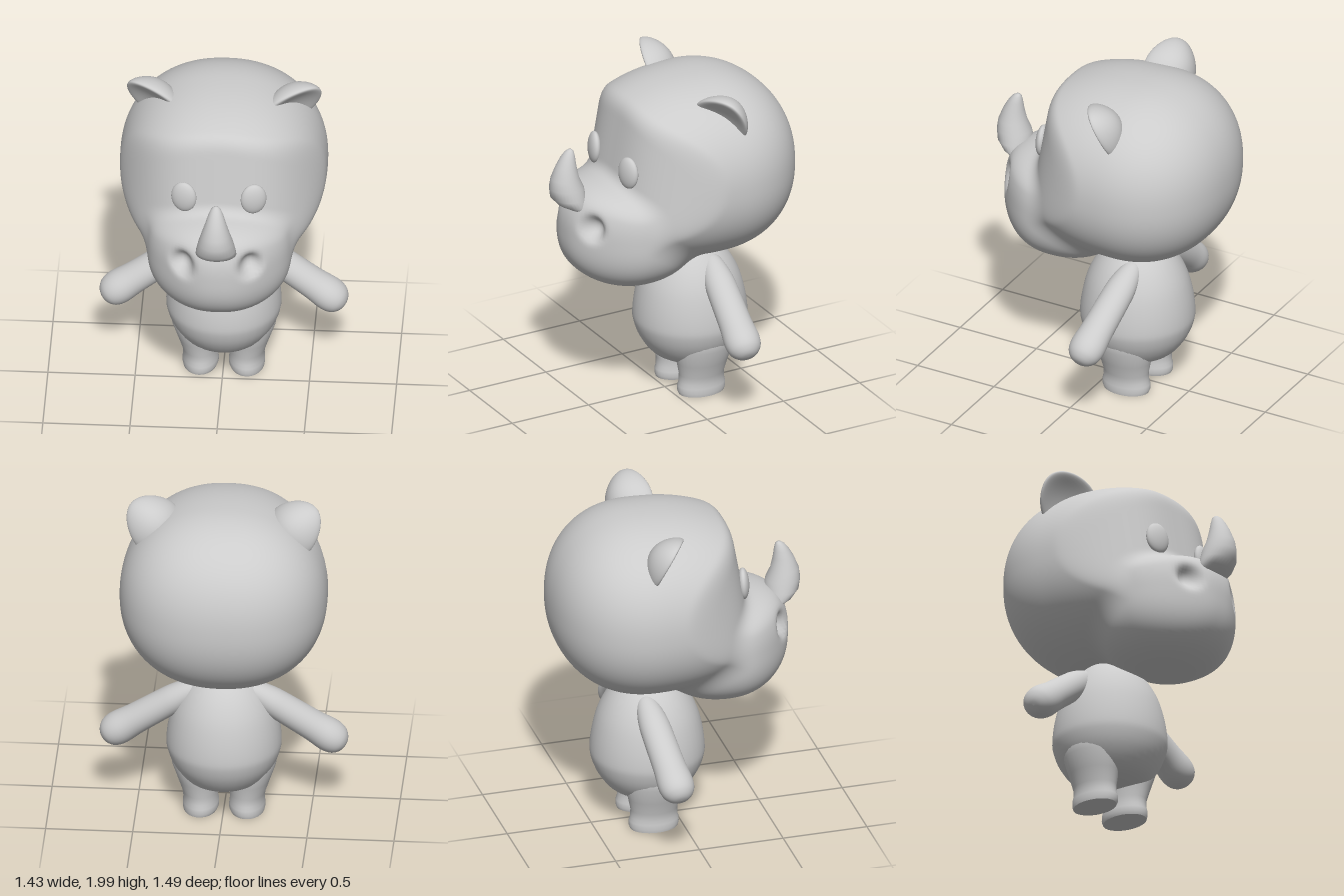
import * as THREE from 'three';
import { mergeVertices } from 'three/addons/utils/BufferGeometryUtils.js';

const material = new THREE.MeshStandardMaterial({ color: 0xcccccc, roughness: 0.8 });
const BODY_Z = -0.165;

function add(parent, name, geometry) {
  const mesh = new THREE.Mesh(geometry, material);
  mesh.name = name;
  parent.add(mesh);
  return mesh;
}

// Smooth minimum and maximum, used to blend the head volumes
function smin(a, b, k) {
  const h = Math.max(k - Math.abs(a - b), 0) / k;
  return Math.min(a, b) - (h * h * k) / 4;
}
const smax = (a, b, k) => -smin(-a, -b, k);

// Signed, roughly metric field of a rounded ellipsoid
function blob(x, y, z, rx, ry, rz, px = 2, py = px, pz = px) {
  const s = Math.abs(x / rx) ** px + Math.abs(y / ry) ** py + Math.abs(z / rz) ** pz;
  return (s ** (1 / pz) - 1) * Math.min(rx, ry, rz);
}

// Skull with a sloped forehead, blended with the muzzle, minus the nostrils
function headField(x, y, z) {
  const ball = blob(x, y - 1.42, z + 0.2, 0.595, y > 1.42 ? 0.55 : 0.535, z > -0.2 ? 0.79 : 0.545, 2.2);
  const forehead = z + 0.18 * (y - 1.5) + 2 * Math.abs(x) ** 3 - 0.36;
  const skull = smax(ball, forehead, 0.05);
  // The muzzle narrows towards the front and is flattened on top
  const taper = 1 - 2.2 * Math.max(0, Math.min(z, 0.75) - 0.3) ** 2;
  const round = blob(x / taper, y - 1.13, z - 0.25, 0.415, 0.36, 0.41, 2.4, 2.6, 2.1);
  const muzzle = smax(round, y + 0.15 * z + 0.7 * x * x - 1.485, 0.06);
  const nostril = blob(Math.abs(x) - 0.2, y - 1.22, z - 0.6, 0.062, 0.068, 0.085);
  return smax(smin(skull, muzzle, 0.06), -nostril, 0.05);
}

// Sphere whose vertices are moved out along rays to the head surface
function headGeometry() {
  const sphere = new THREE.SphereGeometry(1, 160, 112);
  sphere.deleteAttribute('uv');
  sphere.deleteAttribute('normal');
  const geometry = mergeVertices(sphere);
  const pos = geometry.attributes.position;
  const centre = new THREE.Vector3(0, 1.3, 0.05);
  const dir = new THREE.Vector3();
  const p = new THREE.Vector3();
  for (let i = 0; i < pos.count; i++) {
    dir.fromBufferAttribute(pos, i).normalize();
    let lo = 0, hi = 1.2;
    for (let n = 0; n < 24; n++) {
      const mid = (lo + hi) / 2;
      p.copy(centre).addScaledVector(dir, mid);
      if (headField(p.x, p.y, p.z) < 0) lo = mid;
      else hi = mid;
    }
    p.copy(centre).addScaledVector(dir, lo);
    pos.setXYZ(i, p.x, p.y, p.z);
  }
  geometry.computeVertexNormals();
  return geometry;
}

// Skin over elliptical rings [y, centreX, centreZ, radiusX, radiusZ], listed upwards
function loft(rings, sides = 32) {
  const points = [], index = [];
  rings.forEach(([y, cx, cz, rx, rz], i) => {
    for (let j = 0; j < sides; j++) {
      const a = (j / sides) * Math.PI * 2;
      points.push(cx + rx * Math.cos(a), y, cz + rz * Math.sin(a));
      if (i === rings.length - 1) continue;
      const p = i * sides + j, q = i * sides + ((j + 1) % sides);
      index.push(p, p + sides, q, q, p + sides, q + sides);
    }
  });
  const geometry = new THREE.BufferGeometry();
  geometry.setAttribute('position', new THREE.Float32BufferAttribute(points, 3));
  geometry.setIndex(index);
  geometry.computeVertexNormals();
  return geometry;
}

// Lathe through a smoothed profile, listed upwards
function smoothLathe(profile) {
  const curve = new THREE.SplineCurve(profile.map(([r, y]) => new THREE.Vector2(r, y)));
  const points = curve.getPoints(40);
  points.forEach((p) => { p.x = Math.max(p.x, 0); });
  return new THREE.LatheGeometry(points, 40);
}

// Thick flattened ball, narrowed to the tip and bent into a cup that opens towards +z
function earGeometry() {
  const geometry = new THREE.SphereGeometry(1, 36, 28);
  geometry.deleteAttribute('uv');
  geometry.deleteAttribute('normal');
  const merged = mergeVertices(geometry);
  const pos = merged.attributes.position;
  for (let i = 0; i < pos.count; i++) {
    const x = pos.getX(i), y = pos.getY(i), z = pos.getZ(i);
    const bowl = 1 - x * x - y * y;
    const depth = z > 0 ? 0.05 : 0.065;
    pos.setXYZ(i, x * (0.165 - 0.03 * y), y * 0.18, z * depth - 0.06 * bowl + 0.015);
  }
  merged.computeVertexNormals();
  return merged;
}

export function createModel() {
  const model = new THREE.Group();
  model.name = 'rhinoFigure';

  add(model, 'head', headGeometry());

  // Horn curving forward, then up
  add(model, 'horn', loft([
    [1.28, 0, 0.58, 0.105, 0.05],
    [1.315, 0, 0.61, 0.117, 0.085],
    [1.36, 0, 0.635, 0.113, 0.1],
    [1.42, 0, 0.645, 0.1, 0.1],
    [1.48, 0, 0.655, 0.083, 0.082],
    [1.55, 0, 0.648, 0.06, 0.061],
    [1.6, 0, 0.637, 0.044, 0.044],
    [1.635, 0, 0.627, 0.028, 0.028],
    [1.648, 0, 0.622, 0.014, 0.014],
    [1.652, 0, 0.62, 0, 0],
  ]));

  // Pear-shaped body
  add(model, 'body', smoothLathe([
    [0, 0.16], [0.12, 0.175], [0.22, 0.22], [0.29, 0.31], [0.325, 0.4], [0.33, 0.47],
    [0.315, 0.58], [0.285, 0.69], [0.235, 0.79], [0.17, 0.87], [0.1, 0.92], [0, 0.95],
  ])).position.z = BODY_Z;

  const up = new THREE.Vector3(0, 1, 0);
  const eye = new THREE.SphereGeometry(1, 32, 24).scale(0.075, 0.095, 0.035);
  const ear = earGeometry();
  const arm = smoothLathe([
    [0, -0.08], [0.04, -0.055], [0.062, 0], [0.08, 0.1], [0.085, 0.2], [0.089, 0.4], [0.097, 0.51],
    [0.088, 0.57], [0.065, 0.605], [0.035, 0.624], [0, 0.629],
  ]);

  for (const [side, s] of [['left', 1], ['right', -1]]) {
    const eyeMesh = add(model, side + 'Eye', eye);
    eyeMesh.position.set(s * 0.2, 1.52, 0.35);
    eyeMesh.rotation.set(-0.05, s * 0.25, 0);

    // Ear: tip points up and out, cup faces forward and out
    const tip = new THREE.Vector3(0.72, 0.69, 0).normalize();
    const across = new THREE.Vector3(0.55, -0.55, -0.63);
    across.addScaledVector(tip, -across.dot(tip)).normalize();
    const facing = new THREE.Vector3().crossVectors(across, tip);
    const earFrame = new THREE.Matrix4().makeBasis(across, tip, facing).setPosition(0.4, 1.84, -0.165);
    const earShape = ear.clone().applyMatrix4(earFrame);
    if (s < 0) {
      // Mirror and reverse the corner order
      earShape.scale(-1, 1, 1);
      earShape.index.array.reverse();
      earShape.computeVertexNormals();
    }
    add(model, side + 'Ear', earShape);

    // Arm from shoulder down and slightly forward to a rounded hand
    const armMesh = add(model, side + 'Arm', arm);
    armMesh.position.set(s * 0.18, 0.795, -0.215);
    armMesh.quaternion.setFromUnitVectors(up, new THREE.Vector3(s * 0.438, -0.305, 0.045).normalize());
    armMesh.scale.z = 1.08;

    // Leg with a flat sole; the doubled ring keeps the sole edge sharp
    add(model, side + 'Leg', loft([
      [0, 0.135, 0, 0],
      [0, 0.135, 0.098, 0.14],
      [0, 0.135, 0.098, 0.14],
      [0.02, 0.133, 0.104, 0.147],
      [0.05, 0.133, 0.103, 0.146],
      [0.075, 0.134, 0.099, 0.138],
      [0.12, 0.136, 0.102, 0.137],
      [0.2, 0.145, 0.12, 0.155],
      [0.3, 0.155, 0.144, 0.18],
      [0.42, 0.16, 0.154, 0.18],
      [0.5, 0.14, 0, 0],
    ].map(([y, cx, rx, rz]) => [y, s * cx, BODY_Z, rx, rz])));
  }
  return model;
}
